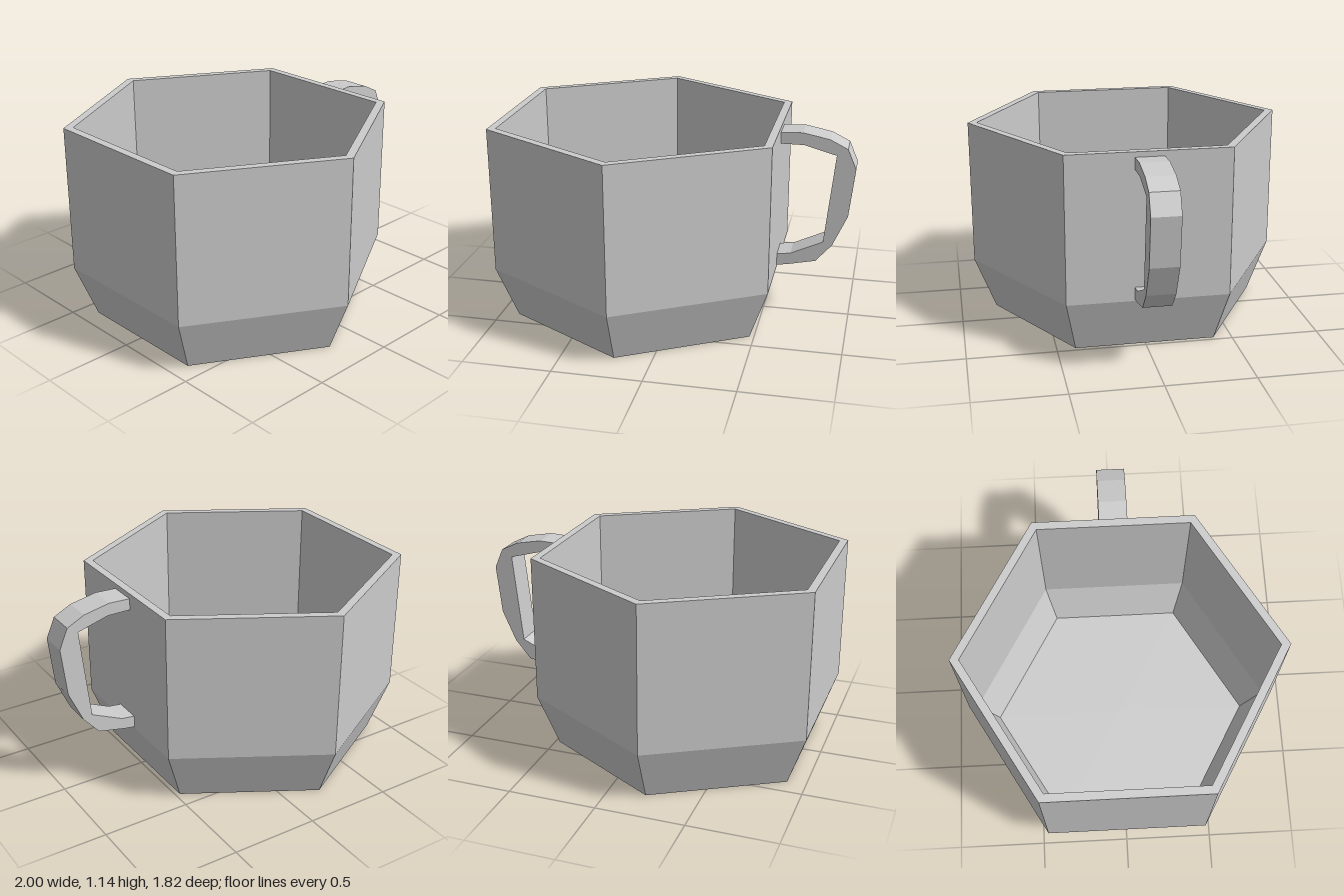
import * as THREE from 'three';

export function createModel() {
  const group = new THREE.Group();
  const material = new THREE.MeshStandardMaterial({ color: 0xcccccc, flatShading: true });
  const toVectors = (points) => points.map(([x, y]) => new THREE.Vector2(x, y));

  // Hollow six-sided cup: base, chamfer, outer wall, rim, inner wall, floor
  const profile = toVectors([
    [0, 0], [0.79, 0], [0.91, 0.305], [0.91, 1.145],
    [0.858, 1.145], [0.855, 0.315], [0.75, 0.05], [0, 0.05],
  ]);
  const cup = new THREE.Mesh(new THREE.LatheGeometry(profile, 6), material);
  cup.name = 'cup';
  cup.position.x = -0.21;
  group.add(cup);

  // Faceted handle on the left side: outer edge downwards, then inner edge back up
  const outline = toVectors([
    [0.575, 1.115], [0.7, 1.12], [0.85, 1.09], [0.95, 1.04], [1, 0.925],
    [0.97, 0.645], [0.89, 0.465], [0.8, 0.36], [0.64, 0.325], [0.575, 0.315],
    [0.575, 0.385], [0.655, 0.395], [0.837, 0.48], [0.89, 1], [0.71, 1.05], [0.575, 1.05],
  ]);
  const depth = 0.16;
  const handleGeometry = new THREE.ExtrudeGeometry(new THREE.Shape(outline), { depth, bevelEnabled: false });
  handleGeometry.translate(0, 0, -depth / 2);
  const handle = new THREE.Mesh(handleGeometry, material);
  handle.name = 'handle';
  group.add(handle);

  return group;
}
